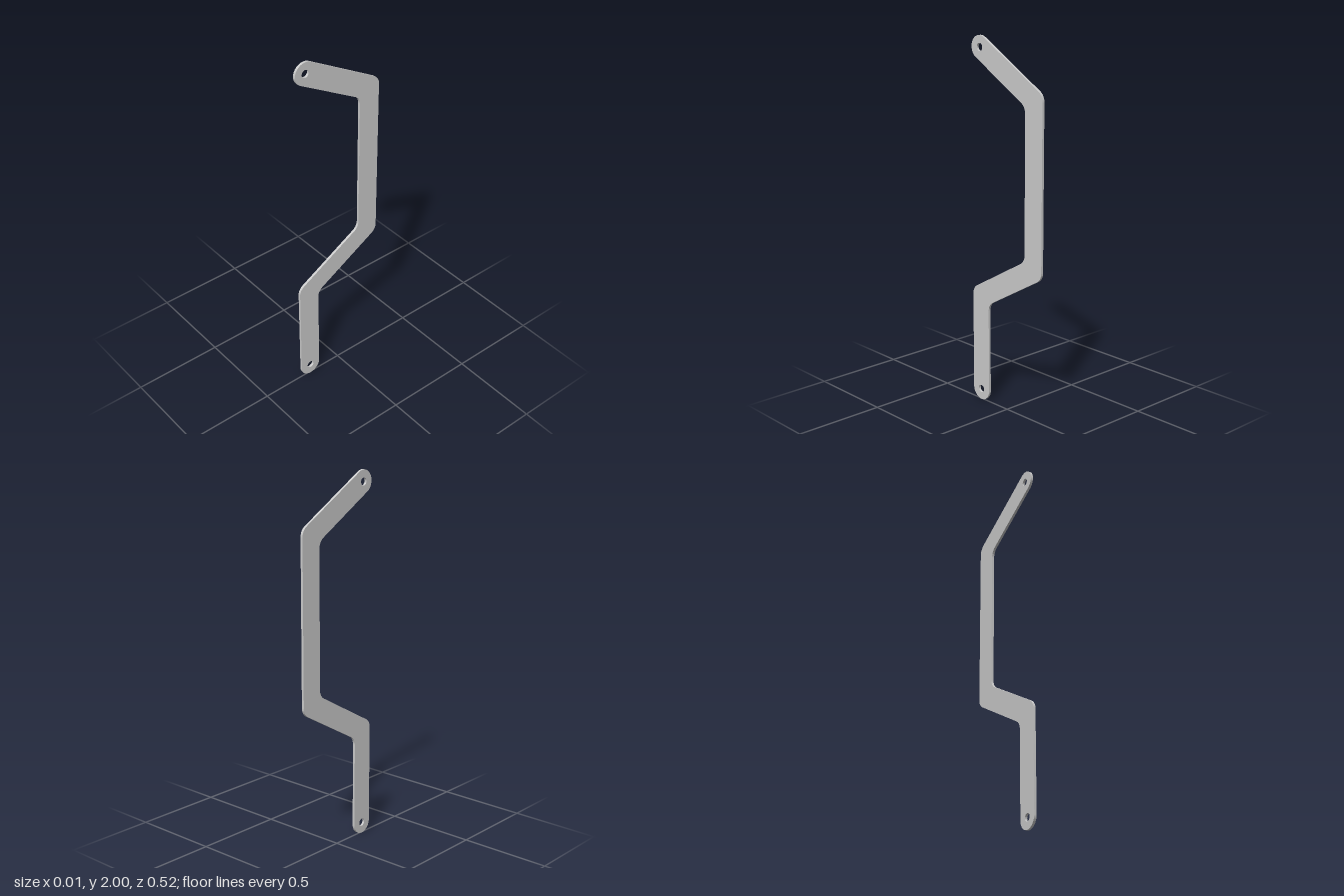
import * as THREE from 'three';
import { toCreasedNormals } from 'three/addons/utils/BufferGeometryUtils.js';

const HALF = 0.0615;      // half the strap width
const THICK = 0.0133;
const HOLE = 0.021;
const FILLET = 0.06;

// Centreline of the strap as (z, y)
const PATH = [[0.2, 0.0615], [0.2, 0.6], [-0.2, 0.831], [-0.2, 1.7075], [0.2, 1.9385]]
  .map(([z, y]) => new THREE.Vector2(z, y));

// Unit direction of one strap segment
const dir = (i) => PATH[i + 1].clone().sub(PATH[i]).normalize();

// Mitred corner of the edge on one side of the centreline (side = 1 or -1)
function corner(i, side) {
  const a = dir(i - 1), b = dir(i);
  const miter = new THREE.Vector2(-a.y - b.y, a.x + b.x).normalize();
  const scale = HALF / miter.dot(new THREE.Vector2(-a.y, a.x));
  return PATH[i].clone().addScaledVector(miter, side * scale);
}

// Line up to a corner, then a circular fillet around it
function fillet(shape, p, a, b) {
  const turn = a.cross(b);
  const angle = Math.acos(a.dot(b));
  const start = p.clone().addScaledVector(a, -FILLET * Math.tan(angle / 2));
  const s = Math.sign(turn);
  const c = start.clone().add(new THREE.Vector2(-a.y, a.x).multiplyScalar(s * FILLET));
  const t0 = Math.atan2(start.y - c.y, start.x - c.x);
  shape.lineTo(start.x, start.y);
  shape.absarc(c.x, c.y, FILLET, t0, t0 + s * angle, s < 0);
}

function strapShape() {
  const shape = new THREE.Shape();
  const last = PATH.length - 1;
  const first = PATH[0], end = PATH[last];
  shape.moveTo(first.x + HALF, first.y);
  // Up one edge
  for (let i = 1; i < last; i++) fillet(shape, corner(i, -1), dir(i - 1), dir(i));
  // Round upper end
  const d = dir(last - 1), t = Math.atan2(d.y, d.x);
  shape.absarc(end.x, end.y, HALF, t - Math.PI / 2, t + Math.PI / 2, false);
  // Down the other edge
  for (let i = last - 1; i > 0; i--) fillet(shape, corner(i, 1), dir(i).negate(), dir(i - 1).negate());
  // Round lower end
  shape.absarc(first.x, first.y, HALF, Math.PI, Math.PI * 2, false);
  // Bolt holes
  for (const p of [first, end]) {
    const hole = new THREE.Path();
    hole.absarc(p.x, p.y, HOLE, 0, Math.PI * 2, true);
    shape.holes.push(hole);
  }
  return shape;
}

export function createModel() {
  const group = new THREE.Group();
  group.name = 'bentStrap';
  const geometry = new THREE.ExtrudeGeometry(strapShape(), {
    depth: THICK, bevelEnabled: false, curveSegments: 16,
  });
  // Stand the flat plate in the y-z plane, centred on x
  geometry.translate(0, 0, -THICK / 2);
  geometry.rotateY(-Math.PI / 2);
  const strap = new THREE.Mesh(
    toCreasedNormals(geometry, Math.PI / 6),
    new THREE.MeshStandardMaterial({ color: 0xcccccc })
  );
  strap.name = 'strapPlate';
  group.add(strap);
  return group;
}
